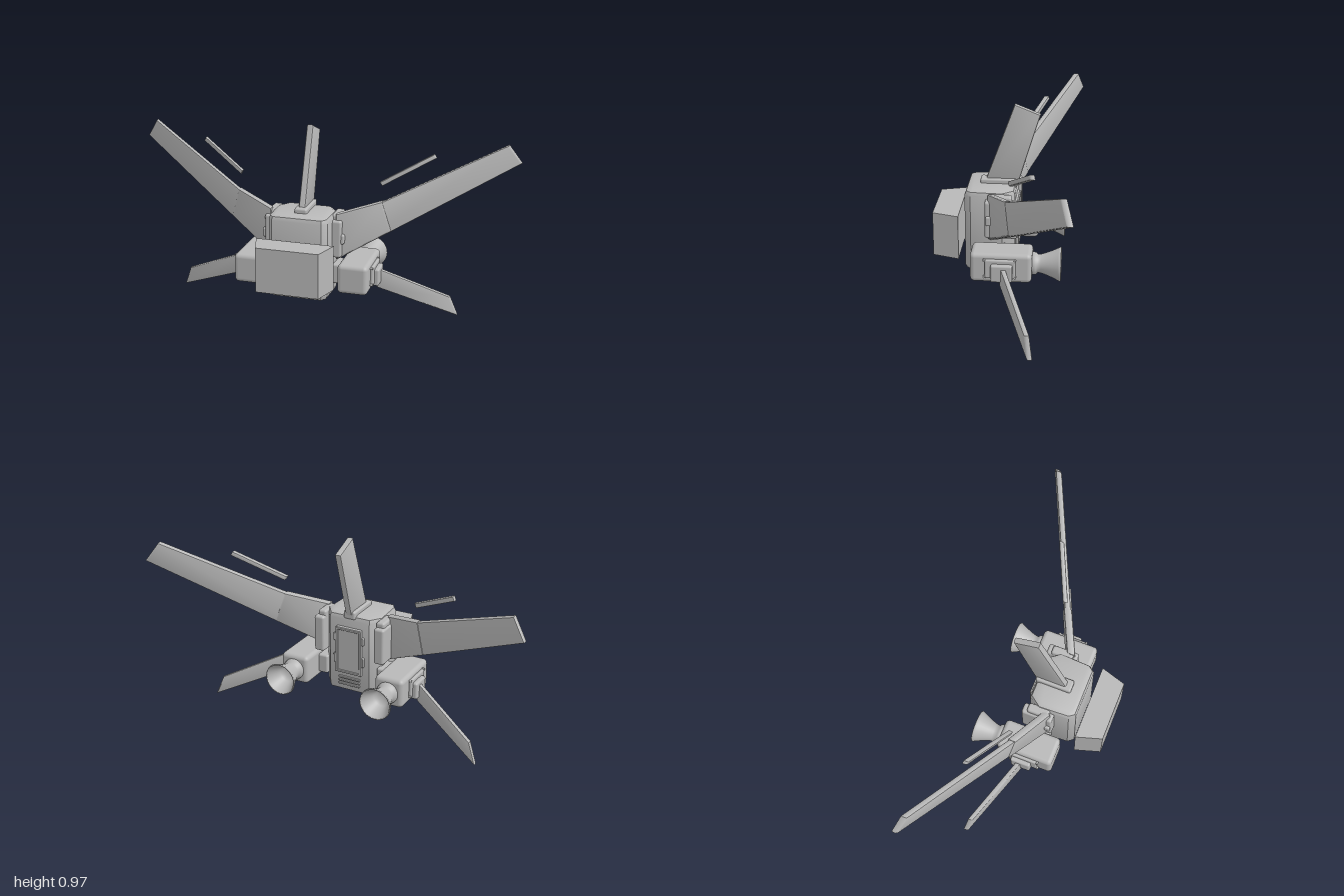
import * as THREE from 'three';
import { RoundedBoxGeometry } from 'three/addons/geometries/RoundedBoxGeometry.js';
import { toCreasedNormals } from 'three/addons/utils/BufferGeometryUtils.js';

const grey = new THREE.MeshStandardMaterial({ color: 0xb8b8b8 });
grey.name = 'grey';

export function createModel() {
  const model = new THREE.Group();
  model.name = 'flightPack';

  const add = (name, geometry) => {
    const mesh = new THREE.Mesh(geometry, grey);
    mesh.name = name;
    model.add(mesh);
    return mesh;
  };

  // Rounded block given by its minimum and maximum on each axis
  const block = (name, [x0, x1], [y0, y1], [z0, z1], r = 0.01) => {
    const g = new RoundedBoxGeometry(Math.abs(x1 - x0), y1 - y0, z1 - z0, 3, r);
    g.translate((x0 + x1) / 2, (y0 + y1) / 2, (z0 + z1) / 2);
    return add(name, g);
  };

  // Bevelled slab from an outline, centred on z = 0
  const slab = (outline, thickness, bevel) => {
    const g = new THREE.ExtrudeGeometry(new THREE.Shape(outline.map(([x, y]) => new THREE.Vector2(x, y))), {
      depth: thickness - 2 * bevel, bevelEnabled: true, bevelThickness: bevel,
      bevelSize: bevel, bevelOffset: -bevel, bevelSegments: 2,
    });
    return g.translate(0, 0, bevel - thickness / 2);
  };

  // Vertical blade swept backwards the further out it reaches
  const blade = (name, side, outline, thickness, bevel, z0, slope) => {
    const g = slab(outline.map(([x, y]) => [x * side, y]), thickness, bevel);
    const p = g.attributes.position;
    for (let i = 0; i < p.count; i++) p.setZ(i, p.getZ(i) + z0 + slope * Math.abs(p.getX(i)));
    g.computeVertexNormals();
    return add(name, toCreasedNormals(g, 0.6));
  };

  // Body with chamfered upright corners
  const plan = [[-0.125, -0.195], [0.125, -0.195], [0.148, -0.165], [0.155, -0.01],
    [0.11, 0.05], [-0.11, 0.05], [-0.155, -0.01], [-0.148, -0.165]];
  const body = slab(plan, 0.425, 0.026);
  body.rotateX(-Math.PI / 2).translate(0, 0.3525, 0);
  add('body', toCreasedNormals(body, 0.6));

  // Front block, narrowing forwards
  const front = new THREE.BoxGeometry(0.39, 0.225, 0.13).toNonIndexed();
  const fp = front.attributes.position;
  for (let i = 0; i < fp.count; i++) if (fp.getZ(i) > 0) fp.setX(i, fp.getX(i) * 0.795);
  front.computeVertexNormals();
  front.translate(0, 0.3375, 0.285);
  add('frontBlock', front);

  // Back hatch with frame, latches and vent
  block('hatch', [-0.07, 0.07], [0.245, 0.5], [-0.06, -0.04], 0.006);
  for (const s of [-1, 1]) {
    block('hatchSideRail', [s * 0.06, s * 0.072], [0.25, 0.495], [-0.068, -0.05], 0.004);
    block('hatchLatch', [s * 0.066, s * 0.084], [0.3, 0.35], [-0.065, -0.045], 0.004);
    block('hatchLatch', [s * 0.066, s * 0.084], [0.42, 0.46], [-0.065, -0.045], 0.004);
  }
  for (const y of [0.25, 0.483]) block('hatchEndRail', [-0.07, 0.07], [y, y + 0.012], [-0.068, -0.05], 0.004);
  for (let i = 0; i < 3; i++)
    block('ventSlat', [-0.06, 0.06], [0.178 + i * 0.018, 0.189 + i * 0.018], [-0.06, -0.045], 0.004);

  // Upright tail fin on its mounting plate
  block('tailMount', [-0.032, 0.032], [0.545, 0.588], [-0.055, 0.128], 0.01);
  const tail = slab([[-0.105, 0.57], [0.06, 0.57], [0.165, 0.918], [0.04, 0.967]], 0.034, 0.009);
  add('tailFin', toCreasedNormals(tail.rotateY(Math.PI / 2), 0.6));

  // Nozzle profile: radius and distance behind the centre
  const profile = [[0.03, 0.13], [0.05, 0.14], [0.056, 0.152], [0.054, 0.166], [0.044, 0.174], [0.046, 0.19],
    [0.053, 0.212], [0.066, 0.245], [0.079, 0.272], [0.083, 0.28], [0.081, 0.286], [0.076, 0.284],
    [0.06, 0.25], [0.043, 0.212], [0.035, 0.19], [0, 0.185]].map(([r, d]) => new THREE.Vector2(r, d));

  for (const s of [-1, 1]) {
    // Wing root block and hinge knob
    block('wingMount', [s * 0.14, s * 0.195], [0.34, 0.53], [-0.065, 0.092], 0.012);
    block('wingMountCap', [s * 0.14, s * 0.185], [0.46, 0.555], [-0.04, 0.07], 0.012);
    block('hingeKnob', [s * 0.185, s * 0.208], [0.41, 0.458], [0.058, 0.086], 0.008);

    // Main wing with a thicker inner sleeve, and the loose strip above it
    blade('wing', s, [[0.17, 0.323], [1, 0.772], [0.935, 0.867], [0.365, 0.607], [0.17, 0.557]],
      0.032, 0.008, 0.138, -0.48);
    blade('wingSleeve', s, [[0.165, 0.325], [0.415, 0.459], [0.37, 0.612], [0.165, 0.56]],
      0.044, 0.01, 0.138, -0.48);
    blade('wingStrip', s, [[0.364, 0.685], [0.605, 0.813], [0.594, 0.833], [0.353, 0.705]],
      0.026, 0.006, 0.12, -0.475);

    // Engine pod and nozzle
    block('enginePod', [s * 0.19, s * 0.342], [0.177, 0.326], [-0.148, 0.148], 0.022);
    block('podBracket', [s * 0.14, s * 0.2], [0.2, 0.3], [-0.03, 0.08], 0.01);
    const nozzle = new THREE.LatheGeometry(profile, 32);
    nozzle.rotateX(-Math.PI / 2).translate(s * 0.265, 0.252, 0);
    add('nozzle', nozzle);

    // Stepped fin mount with bolts
    block('finMountPlate', [s * 0.33, s * 0.356], [0.205, 0.302], [-0.073, 0.075], 0.008);
    block('finMount', [s * 0.34, s * 0.378], [0.195, 0.283], [-0.058, 0.046], 0.01);
    for (const [y, z] of [[0.298, 0.078], [0.298, -0.07], [0.212, 0.078], [0.212, -0.07]]) {
      const bolt = new THREE.CylinderGeometry(0.006, 0.006, 0.02, 12);
      bolt.rotateZ(Math.PI / 2).translate(s * 0.346, y, z);
      add('bolt', bolt);
    }

    // Lower fin
    blade('lowerFin', s, [[0.36, 0.172], [0.742, 0], [0.703, 0.103], [0.36, 0.272]],
      0.026, 0.007, 0.142, -0.418);
  }
  return model;
}
